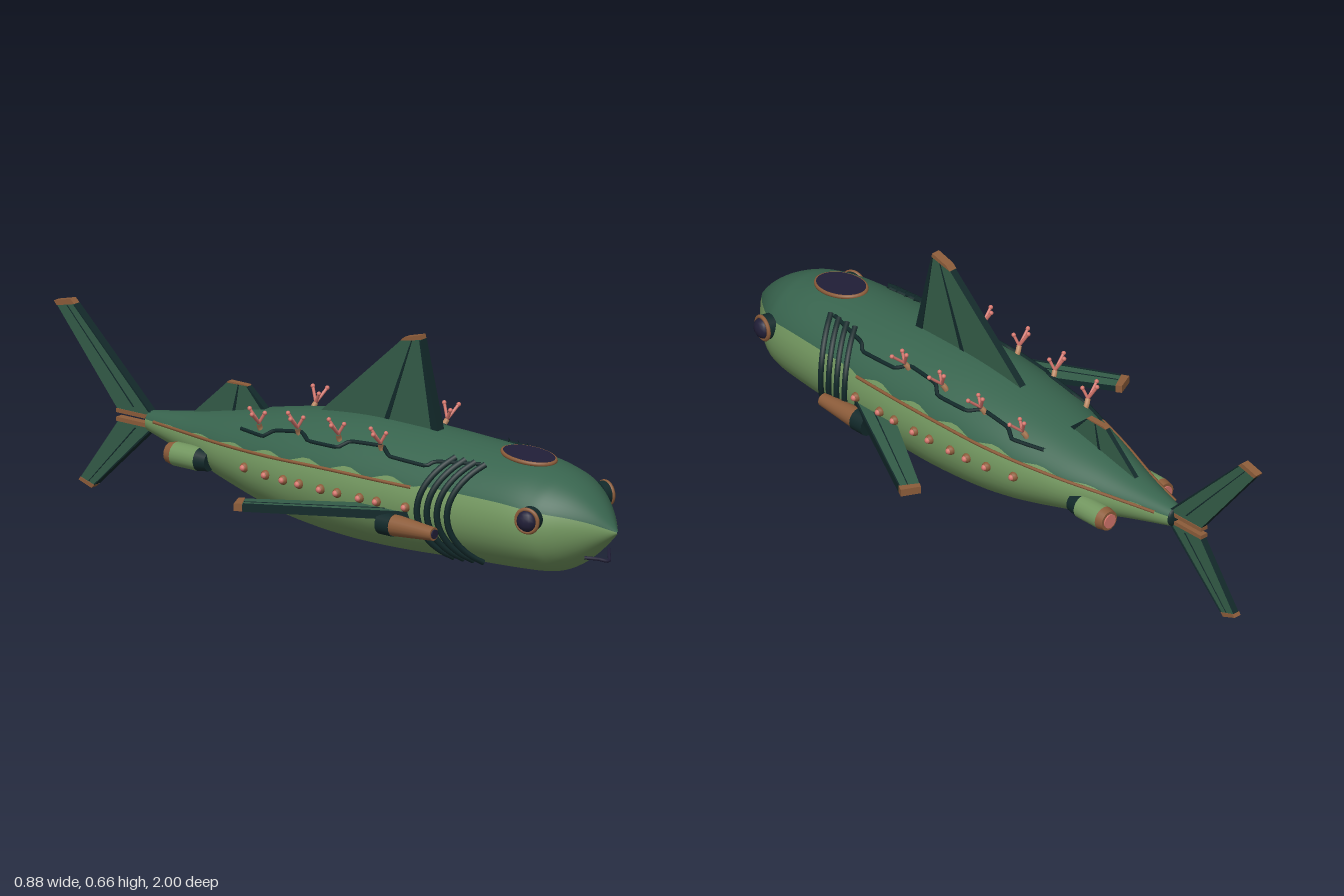
import * as THREE from 'three';

const mat = (name, color, extra = {}) => {
  const m = new THREE.MeshStandardMaterial({ color, ...extra });
  m.name = name;
  return m;
};

export function createModel() {
  const M = {
    back: mat('back green', 0x38644e), belly: mat('belly green', 0x72965f),
    fin: mat('fin green', 0x345c48), dark: mat('dark trim', 0x12292a),
    copper: mat('copper', 0x8c5c3a), navy: mat('dark glass', 0x211f38),
    stem: mat('coral stem', 0xc08a62), pink: mat('coral pink', 0xd4756c),
  };
  const model = new THREE.Group();
  model.name = 'mechanicalFish';
  const add = (name, geo, material, parent = model) => {
    const m = new THREE.Mesh(geo, material);
    m.name = name;
    parent.add(m);
    return m;
  };
  const V = (x, y, z) => new THREE.Vector3(x, y, z);

  // Hull stations: z, top, bottom, half width
  const keys = [
    [1, 0.222, 0.216, 0.003], [0.95, 0.28, 0.168, 0.058], [0.9, 0.322, 0.125, 0.105],
    [0.85, 0.35, 0.092, 0.143], [0.8, 0.367, 0.076, 0.166], [0.7, 0.385, 0.067, 0.183],
    [0.5, 0.395, 0.058, 0.2], [0.3, 0.4, 0.047, 0.208], [0.1, 0.397, 0.047, 0.207],
    [-0.1, 0.374, 0.067, 0.19], [-0.3, 0.334, 0.112, 0.143], [-0.5, 0.29, 0.165, 0.077],
    [-0.66, 0.262, 0.203, 0.03],
  ];
  const curveA = new THREE.CatmullRomCurve3(keys.map(k => V(k[0], k[1], k[2])), false, 'catmullrom', 0.5);
  const curveB = new THREE.CatmullRomCurve3(keys.map(k => V(k[3], 0, 0)), false, 'catmullrom', 0.5);
  const N = 96;
  const stations = Array.from({ length: N + 1 }, (_, i) => {
    const a = curveA.getPoint(i / N);
    return [a.x, a.y, a.z, curveB.getPoint(i / N).x];
  });
  const onSection = ([z, top, bottom, w], angle, off = 0) => V(
    Math.cos(angle) * (w + off),
    (top + bottom) / 2 + Math.sin(angle) * ((top - bottom) / 2 + off), z);
  const surf = (z, angle, off = 0) => {
    let i = 0;
    while (i < N - 1 && stations[i + 1][0] > z) i++;
    const a = stations[i], b = stations[i + 1], t = (a[0] - z) / (a[0] - b[0]);
    return onSection(a.map((v, k) => v + (b[k] - v) * t), angle, off);
  };

  // Hull skin, divided into back and belly along a wavy line
  const split = z => 0.42 + (z < 0.45 ? 0.05 * Math.sin(z * 42) : 0);
  const H = 26, R = H * 2, pos = [], upper = [], lower = [];
  stations.forEach(s => {
    const a = split(s[0]);
    for (let j = 0; j < R; j++) {
      const angle = j < H ? a + (Math.PI - 2 * a) * j / H
        : Math.PI - a + (Math.PI + 2 * a) * (j - H) / H;
      pos.push(...onSection(s, angle).toArray());
    }
  });
  for (let i = 0; i < N; i++) for (let j = 0; j < R; j++) {
    const a = i * R + j, b = i * R + (j + 1) % R;
    (j < H ? upper : lower).push(a, a + R, b, b, a + R, b + R);
  }
  const hull = new THREE.BufferGeometry();
  hull.setAttribute('position', new THREE.Float32BufferAttribute(pos, 3));
  hull.setIndex([...upper, ...lower]);
  hull.addGroup(0, upper.length, 0);
  hull.addGroup(upper.length, lower.length, 1);
  hull.computeVertexNormals();
  add('hull', hull, [M.back, M.belly]);
  const stern = add('sternCap', new THREE.SphereGeometry(1, 20, 12), M.dark);
  stern.scale.set(0.029, 0.029, 0.012);
  stern.position.set(0, 0.2325, -0.658);

  const tube = (name, pts, r, material, parent, type = 'centripetal', tension = 0.5) => add(name,
    new THREE.TubeGeometry(new THREE.CatmullRomCurve3(pts, false, type, tension), pts.length * 5, r, 6), material, parent);
  const ball = (name, p, r, material, parent) => {
    const m = add(name, new THREE.SphereGeometry(r, 12, 8), material, parent);
    m.position.copy(p);
    return m;
  };

  // Fins are quads: root front, tip front, tip back, root back
  const fin = (name, q, thick, flat = false) => {
    const g = new THREE.Group();
    g.name = name;
    model.add(g);
    const [a, b, c, d] = q.map(p => new THREE.Vector2(...p));
    const at = (s, t) => a.clone().lerp(d, s).lerp(b.clone().lerp(c, s), t);
    const plate = (part, s0, s1, t0, t1, th, material) => {
      const shape = new THREE.Shape([at(s0, t0), at(s0, t1), at(s1, t1), at(s1, t0)]);
      const geo = new THREE.ExtrudeGeometry(shape, { depth: th, bevelEnabled: false }).translate(0, 0, -th / 2);
      if (flat) geo.rotateX(Math.PI / 2); else geo.rotateY(-Math.PI / 2);
      add(part, geo, material, g);
    };
    plate('finPanel', 0, 1, 0, 0.985, thick, [M.fin, M.dark]);
    plate('leadingSpar', -0.01, 0.05, 0, 0.95, thick + 0.006, M.dark);
    plate('finRib', 0.42, 0.46, 0.05, 0.95, thick + 0.003, M.dark);
    plate('finTip', -0.01, 1.01, 0.955, 1, thick + 0.004, M.copper);
  };
  fin('dorsalFin', [[0.37, 0.385], [0.305, 0.663], [0.25, 0.648], [-0.065, 0.365]], 0.022);
  fin('rearDorsalFin', [[-0.24, 0.335], [-0.315, 0.402], [-0.38, 0.402], [-0.52, 0.275]], 0.014);
  fin('upperTailFin', [[-0.645, 0.25], [-0.94, 0.535], [-0.998, 0.52], [-0.775, 0.25]], 0.02);
  fin('lowerTailFin', [[-0.645, 0.215], [-0.865, 0.002], [-0.91, 0.018], [-0.77, 0.215]], 0.02);
  for (const y of [0.244, 0.219])
    add('tailFinRoot', new THREE.BoxGeometry(0.024, 0.012, 0.13), M.copper).position.set(0, y, -0.711);

  // Domed window on the head
  const hatch = new THREE.Group();
  hatch.name = 'headWindow';
  hatch.position.set(0, 0.384, 0.685);
  hatch.rotation.x = 0.09;
  model.add(hatch);
  add('windowGlass', new THREE.CylinderGeometry(1, 1, 0.012, 32), M.navy, hatch).scale.set(0.057, 1, 0.082);
  const rim = add('windowRim', new THREE.TorusGeometry(1, 0.08, 8, 36).rotateX(Math.PI / 2), M.copper, hatch);
  rim.scale.set(0.058, 0.08, 0.083);

  // Mouth
  tube('mouth', [V(-0.055, 0.146, 0.925), V(-0.025, 0.14, 0.95), V(0, 0.132, 0.968),
    V(0.025, 0.14, 0.95), V(0.055, 0.146, 0.925)], 0.005, M.navy);

  for (const side of [1, -1]) {
    const ang = a => (side > 0 ? a : Math.PI - a);
    const P = (z, a, off) => surf(z, ang(a), off);

    // Eye
    const eye = new THREE.Group();
    eye.name = side > 0 ? 'leftEye' : 'rightEye';
    eye.position.set(side * 0.162, 0.26, 0.815);
    eye.rotation.y = side * 1.35;
    model.add(eye);
    add('eyeSocket', new THREE.CylinderGeometry(0.036, 0.036, 0.03, 24).rotateX(Math.PI / 2), M.dark, eye);
    add('eyeRim', new THREE.TorusGeometry(0.033, 0.006, 8, 28), M.copper, eye).position.z = 0.013;
    const lens = ball('eyeLens', V(0, 0, 0.012), 0.031, M.navy, eye);
    lens.scale.z = 0.8;

    // Gill ribs
    for (let k = 0; k < 4; k++) {
      const pts = [];
      for (let i = 0; i <= 10; i++) {
        const u = i / 10;
        pts.push(P(0.615 - k * 0.034 - 0.06 * Math.sin(Math.PI * u), 1.0 - 1.95 * u, 0.006));
      }
      tube('gillRib', pts, 0.009, M.dark);
    }

    // Side seam and rivets
    const seam = [];
    for (let i = 0; i <= 16; i++) seam.push(P(0.42 - i * 0.065, 0.36, 0.002));
    tube('sideSeam', seam, 0.005, M.copper);
    for (const z of [0.41, 0.31, 0.25, 0.17, 0.11, 0.03, -0.03, -0.1, -0.19]) {
      ball('rivetCollar', P(z, 0.03, 0), 0.014, M.copper);
      ball('rivetHead', P(z, 0.03, 0.009), 0.009, M.pink);
    }

    // Zigzag seam along the back
    const zig = [[0.6, 1.0], [0.46, 0.85], [0.44, 0.74], [0.31, 0.76], [0.27, 0.9], [0.16, 0.86], [0.13, 0.72],
      [0.02, 0.74], [-0.02, 0.88], [-0.12, 0.84], [-0.15, 0.7], [-0.25, 0.8]];
    tube('backSeam', zig.map(([z, a]) => P(z, a, 0.003)), 0.006, M.dark, model, 'catmullrom', 0.1);

    // Branching coral
    for (const z of [0.27, 0.12, -0.03, -0.18]) {
      const coral = new THREE.Group();
      coral.name = 'coral';
      model.add(coral);
      const base = P(z, 0.85, -0.005);
      const to = (x, y, dz) => base.clone().add(V(side * x, y, dz));
      const fork = to(0.014, 0.025, 0.004);
      tube('coralStem', [base, to(0.006, 0.012, 0), fork], 0.008, M.stem, coral);
      for (const [x, y, dz] of [[0.055, 0.06, 0.012], [0.028, 0.066, -0.018], [0.008, 0.055, 0.02]]) {
        const tip = to(x, y, dz);
        tube('coralBranch', [fork, fork.clone().lerp(tip, 0.5), tip], 0.0045, M.pink, coral);
        ball('coralTip', tip, 0.0065, M.pink, coral);
      }
    }

    // Pectoral fin with its fairing
    fin(side > 0 ? 'leftPectoralFin' : 'rightPectoralFin',
      [[0.19, 0.44], [0.437, -0.015], [0.385, -0.04], [0.17, 0.3]].map(([x, z]) => [side * x, z]), 0.018, true);
    model.children.at(-1).position.y = 0.205;
    const pod = (name, x, y, z, r0, r1, len, material) => add(name,
      new THREE.CylinderGeometry(r0, r1, len, 20).rotateX(Math.PI / 2), material).position.set(side * x, y, z);
    pod('finFairing', 0.222, 0.178, 0.455, 0.019, 0.031, 0.14, M.copper);
    pod('fairingLamp', 0.222, 0.178, 0.526, 0.013, 0.013, 0.006, M.navy);
    pod('fairingCollar', 0.222, 0.178, 0.362, 0.033, 0.033, 0.046, M.dark);

    // Rear thruster
    pod('thrusterIntake', 0.108, 0.195, -0.382, 0.028, 0.034, 0.036, M.dark);
    pod('thrusterBody', 0.108, 0.195, -0.442, 0.034, 0.034, 0.085, M.belly);
    pod('thrusterNozzle', 0.108, 0.195, -0.496, 0.034, 0.029, 0.024, M.copper);
    pod('thrusterGlow', 0.108, 0.195, -0.509, 0.021, 0.021, 0.006, M.pink);
  }
  return model;
}
